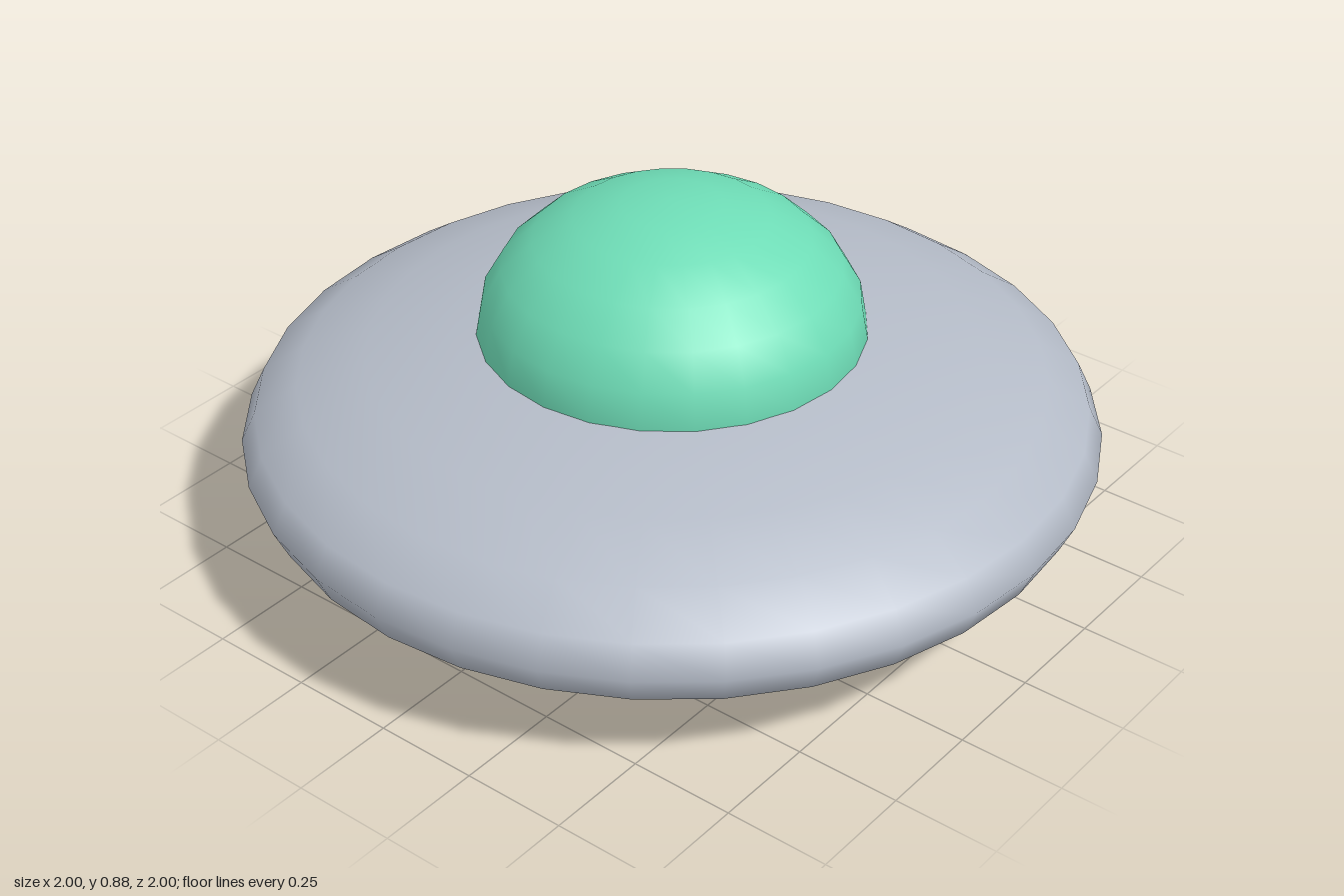
import * as THREE from 'three';

function material(name, color) {
  const m = new THREE.MeshStandardMaterial({ color });
  m.name = name;
  return m;
}

export function createModel() {
  const group = new THREE.Group();
  group.name = 'flyingSaucer';

  const add = (name, geometry, mat, y = 0) => {
    const mesh = new THREE.Mesh(geometry, mat);
    mesh.name = name;
    mesh.position.y = y;
    group.add(mesh);
  };

  // Flattened saucer hull
  const hull = new THREE.SphereGeometry(1, 32, 12);
  hull.scale(1, 0.28, 1);
  add('hull', hull, material('hullGrey', 0xb4bbc7), 0.3);

  // Cockpit dome, continued slightly below the hull surface
  const dome = new THREE.SphereGeometry(0.45, 24, 7, 0, Math.PI * 2, 0, Math.PI * 7 / 12);
  dome.scale(1, 0.325 / 0.45, 1);
  add('cockpitDome', dome, material('domeMint', 0x6edcb6), 0.55);

  // Glowing engine disc under the hull: vertical wall, thin bevel and flat bottom
  const green = material('engineGreen', 0x5acb4b);
  add('engineWall', new THREE.CylinderGeometry(0.29, 0.29, 0.04, 24, 1, true), green, 0.03);
  add('engineBevel', new THREE.CylinderGeometry(0.29, 0.28, 0.01, 24, 1, true), green, 0.005);
  const bottom = new THREE.CircleGeometry(0.28, 24);
  bottom.rotateX(Math.PI / 2);
  bottom.rotateY(Math.PI / 2);
  add('engineBottom', bottom, green);

  return group;
}
